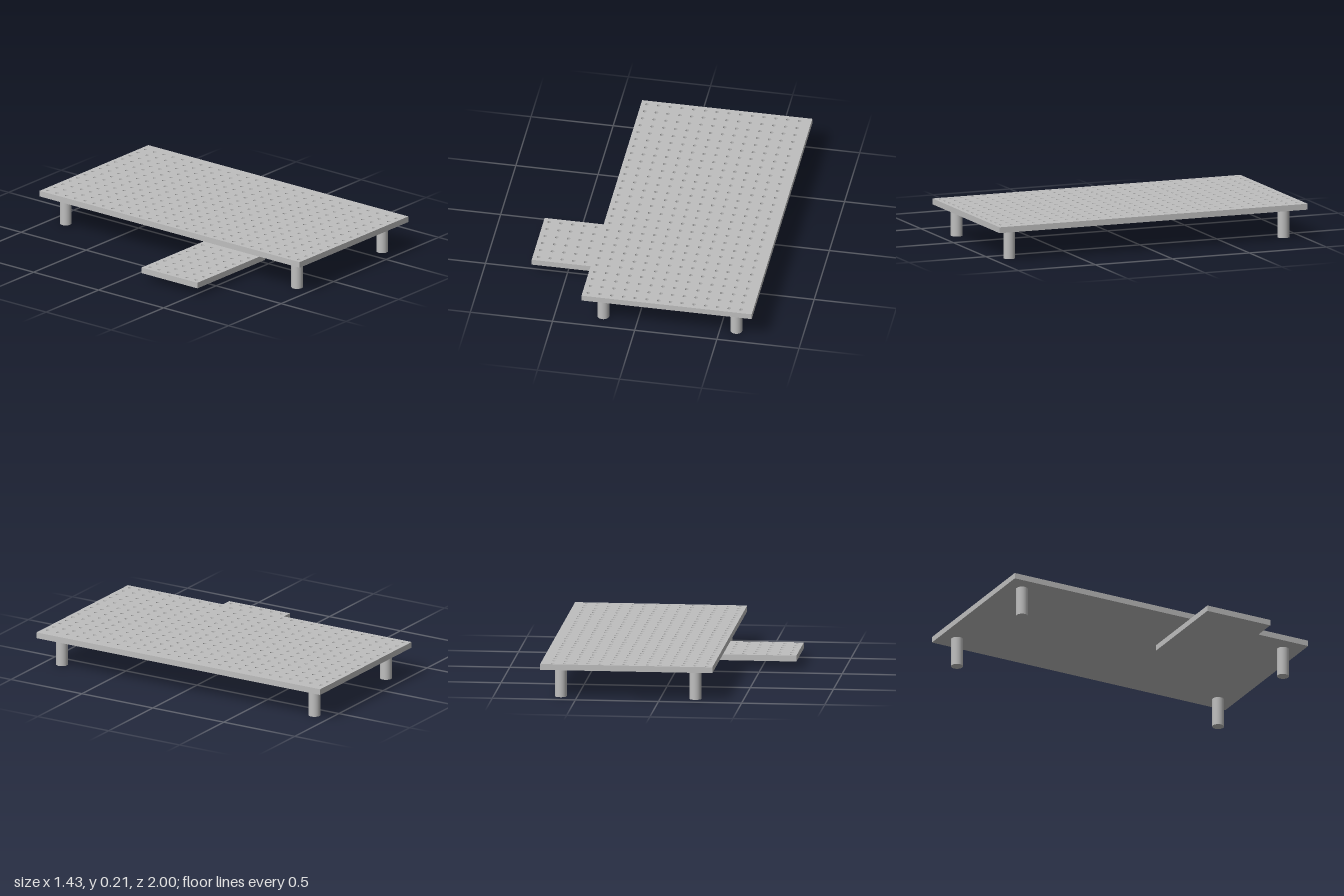
import * as THREE from 'three';
import { mergeGeometries, toCreasedNormals } from 'three/addons/utils/BufferGeometryUtils.js';

const PITCH = 1 / 14;          // hole spacing
const THICK = PITCH / 2;       // board thickness
const HOLE_R = 0.011;
const HOLE_DEPTH = 0.027;

// Board with a grid of blind holes; its corner (min x, min z) is at the origin, top at y = 0
function drilledBoard(width, depth, cols, rows) {
  // sides and underside: a box without its top face
  const shell = new THREE.BoxGeometry(width, THICK, depth);
  const index = Array.from(shell.index.array);
  index.splice(12, 6);
  shell.setIndex(index);
  shell.clearGroups();
  shell.translate(width / 2, -THICK / 2, depth / 2);

  // hole wall and floor
  const profile = [[HOLE_R, 0], [HOLE_R, -HOLE_DEPTH], [0, -HOLE_DEPTH]];
  const hole = toCreasedNormals(
    new THREE.LatheGeometry(profile.map(([x, y]) => new THREE.Vector2(x, y)), 12), 0.8);

  // perforated top face, drawn in x and -z
  const outline = new THREE.Shape([
    new THREE.Vector2(0, -depth), new THREE.Vector2(width, -depth),
    new THREE.Vector2(width, 0), new THREE.Vector2(0, 0),
  ]);
  const parts = [shell.toNonIndexed()];
  for (let c = 0; c < cols; c++) {
    for (let r = 0; r < rows; r++) {
      const x = (c + 0.5) * PITCH, z = (r + 0.5) * PITCH;
      const ring = [];
      for (let i = 0; i < 12; i++) {
        const a = (i / 12) * Math.PI * 2;
        ring.push(new THREE.Vector2(x + HOLE_R * Math.sin(a), -z - HOLE_R * Math.cos(a)));
      }
      outline.holes.push(new THREE.Path(ring));
      parts.push(hole.clone().translate(x, 0, z));
    }
  }
  parts.push(new THREE.ShapeGeometry(outline).rotateX(-Math.PI / 2).toNonIndexed());
  return mergeGeometries(parts);
}

export function createModel() {
  const model = new THREE.Group();
  const grey = new THREE.MeshStandardMaterial({ color: 0xbfbfbf });
  grey.name = 'plain grey';

  function add(name, geometry, x, y, z) {
    const mesh = new THREE.Mesh(geometry, grey);
    mesh.name = name;
    mesh.position.set(x, y, z);
    model.add(mesh);
  }

  const legHeight = 2.5 * PITCH;
  const tableWidth = 14.5 * PITCH;
  const left = 0.712 - tableWidth;

  // main table board
  add('tableBoard', drilledBoard(tableWidth, 28 * PITCH, 14, 28), left, legHeight + THICK, -1);

  // lower side board, partly under the table
  add('sideBoard', drilledBoard(9 * PITCH, 6 * PITCH, 9, 6), -0.714, 0.05 + THICK, 0.1);

  // four round legs
  const leg = new THREE.CylinderGeometry(PITCH / 2, PITCH / 2, legHeight, 32);
  const centre = left + tableWidth / 2;
  for (const sx of [-1, 1]) {
    for (const sz of [-1, 1]) {
      add((sz > 0 ? 'front' : 'back') + (sx > 0 ? 'Left' : 'Right') + 'Leg',
        leg, centre + sx * 0.405, legHeight / 2, sz * 0.89);
    }
  }
  return model;
}
